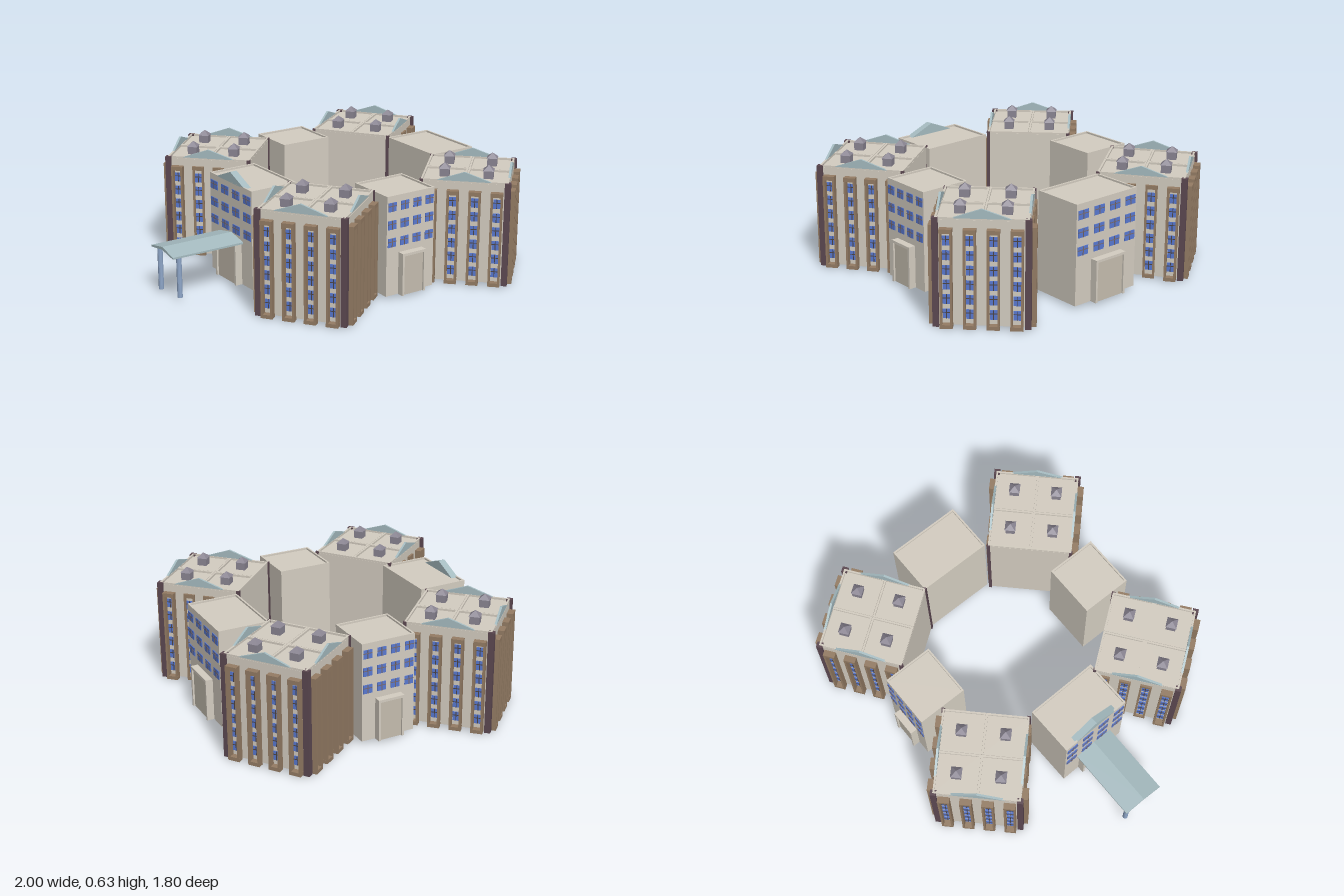
import * as THREE from 'three';
import { mergeGeometries } from 'three/addons/utils/BufferGeometryUtils.js';

const WALL = 0xd3ccc0, TAN = 0x947c64, PLUM = 0x5c4851, BLUE = 0x5878d0,
  TEAL = 0xa5bbc0, STEEL = 0x8ea6c8, LANTERN = 0x8a8592, DARK = 0x4a4346, STONE = 0xc4bcae;

function add(parent, name, color, geometry) {
  const mesh = new THREE.Mesh(geometry, new THREE.MeshStandardMaterial({ color, flatShading: true }));
  mesh.name = name;
  parent.add(mesh);
  return mesh;
}

// One mesh from a list of boxes: [w, h, d, x, bottom y, z]
function boxes(parent, name, color, list) {
  const parts = list.map(([w, h, d, x, y, z]) => new THREE.BoxGeometry(w, h, d).translate(x, y + h / 2, z));
  return add(parent, name, color, mergeGeometries(parts));
}

// Triangular prism facing +z, base centre at the origin
function gable(w, h, d) {
  const s = new THREE.Shape([[-w / 2, 0], [w / 2, 0], [0, h]].map(p => new THREE.Vector2(...p)));
  return new THREE.ExtrudeGeometry(s, { depth: d, bevelEnabled: false });
}

// Raised edge around a rectangle
function rim(w, d, t, h, x, y, z) {
  return [-1, 1].flatMap(s => [
    [w, h, t, x, y, z + s * (d - t) / 2],
    [t, h, d - 2 * t, x + s * (w - t) / 2, y, z]
  ]);
}

// Wall face with four framed window bays and a pediment, local plane z = 0
function bayFace(depths) {
  const face = new THREE.Group();
  face.name = 'bayFace';
  const frames = [], panes = [], mullions = [];
  depths.forEach((d, i) => {
    const x = (i - 1.5) * 0.116;
    for (const s of [-1, 1]) frames.push([0.011, 0.5, d, x + s * 0.026, 0.01, d / 2]);
    frames.push([0.064, 0.022, d, x, 0.5, d / 2], [0.064, 0.02, d, x, 0, d / 2]);
    for (let r = 0; r < 6; r++) {
      panes.push([0.038, 0.05, 0.005, x, 0.045 + r * 0.077, 0.0025]);
      mullions.push([0.004, 0.05, 0.007, x, 0.045 + r * 0.077, 0.0035]);
      mullions.push([0.038, 0.004, 0.007, x, 0.075 + r * 0.077, 0.0035]);
    }
  });
  boxes(face, 'bayFrames', TAN, frames);
  boxes(face, 'bayWindows', BLUE, panes);
  boxes(face, 'bayMullions', DARK, mullions);
  add(face, 'pediment', TEAL, gable(0.29, 0.05, 0.012)).position.set(0, 0.57, -0.01);
  return face;
}

// Square tower, outer face toward local +z; shallow is the side with flat bays
function tower(x, z, angle, shallow) {
  const g = new THREE.Group();
  g.name = 'tower';
  const S = 0.464, H = S / 2;
  boxes(g, 'towerWalls', WALL, [[S, 0.552, S, 0, 0.01, 0]]);

  // Four roof panels with raised edges
  const rims = [], columns = [], feet = [];
  for (const a of [-1, 1]) for (const b of [-1, 1]) {
    rims.push(...rim(H - 0.002, H - 0.002, 0.01, 0.013, a * H / 2, 0.56, b * H / 2));
    const inner = b < 0 ? 0.018 : 0.032;
    columns.push([inner, 0.572, inner, a * (H - 0.004), 0, b * (H - 0.004)]);
    // Roof lantern
    const l = new THREE.Group();
    l.name = 'lantern';
    boxes(l, 'lanternBase', LANTERN, [[0.052, 0.045, 0.052, 0, 0, 0]]);
    const cap = add(l, 'lanternCap', LANTERN, new THREE.ConeGeometry(0.042, 0.028, 4));
    cap.rotation.y = Math.PI / 4;
    cap.position.y = 0.059;
    l.position.set(a * 0.117, 0.56, b * 0.117);
    g.add(l);
  }
  // Footings under the centre lines
  for (let i = 0; i < 4; i++) {
    const u = (i - 1.5) * 0.116;
    feet.push([0.06, 0.012, 0.07, u, 0, 0], [0.07, 0.012, 0.06, 0, 0, u]);
  }
  boxes(g, 'roofEdges', WALL, rims);
  boxes(g, 'cornerColumns', PLUM, columns);
  boxes(g, 'footings', TAN, feet);

  // Outer face and the two sides
  for (const side of [-1, 0, 1]) {
    const depths = [0.034, 0.034, 0.034, 0.034];
    if (side === shallow) depths.forEach((_, i) => {
      if (i !== (side > 0 ? 0 : 3)) depths[i] = 0.012;
    });
    const f = bayFace(depths);
    f.rotation.y = side * Math.PI / 2;
    f.position.set(side * H, 0, side ? 0 : H);
    g.add(f);
  }
  g.position.set(x, 0, z);
  g.rotation.y = THREE.MathUtils.degToRad(angle);
  return g;
}

// Linking block with windows and a portal on local +z
function annex(name, x, z, w, d, angle) {
  const g = new THREE.Group();
  g.name = name;
  const F = d / 2, pw = w * 0.49, ww = w * 0.165;
  boxes(g, 'annexWalls', WALL, [[w, 0.538, d, 0, 0.015, 0]]);
  boxes(g, 'annexRoofEdge', WALL, rim(w, d, 0.01, 0.01, 0, 0.553, 0));
  const panes = [], mullions = [];
  for (let r = 0; r < 3; r++) for (let c = 0; c < 4; c++) {
    const px = (c - 1.5) * w * 0.262, py = 0.285 + r * 0.097;
    panes.push([ww, 0.048, 0.005, px, py, F + 0.0015]);
    mullions.push([0.005, 0.048, 0.007, px, py, F + 0.0025], [ww, 0.004, 0.007, px, py + 0.028, F + 0.0025]);
  }
  boxes(g, 'annexWindows', BLUE, panes);
  boxes(g, 'annexMullions', 0x77686a, mullions);
  // Portal frame and recessed door panel
  boxes(g, 'portalFrame', WALL, [
    [0.012, 0.233, 0.04, -pw / 2 + 0.006, 0.015, F + 0.02],
    [0.012, 0.233, 0.04, pw / 2 - 0.006, 0.015, F + 0.02],
    [pw - 0.024, 0.014, 0.04, 0, 0.234, F + 0.02]
  ]);
  boxes(g, 'portalDoor', STONE, [[pw - 0.024, 0.219, 0.03, 0, 0.015, F + 0.015]]);
  g.position.set(x, 0, z);
  g.rotation.y = angle;
  return g;
}

export function createModel() {
  const model = new THREE.Group();
  model.name = 'buildingComplex';

  model.add(
    tower(0.59, 0.55, 45, 1),
    tower(-0.325, -0.555, -135, 1),
    tower(0.655, -0.525, 126, -1),
    tower(-0.385, 0.53, -53, -1)
  );

  const west = annex('westAnnex', -0.445, 0.01, 0.415, 0.28, -Math.PI / 2 + 0.02);
  model.add(
    annex('frontAnnex', 0.1, 0.54, 0.305, 0.285, 0),
    annex('backAnnex', 0.168, -0.545, 0.305, 0.285, Math.PI),
    annex('eastAnnex', 0.748, 0.005, 0.42, 0.285, Math.PI / 2),
    west
  );
  add(west, 'roofGable', TEAL, gable(0.28, 0.058, 0.04)).position.set(0, 0.558, 0.1);

  // Entrance canopy on two posts
  const canopy = new THREE.Group();
  canopy.name = 'canopy';
  const profile = new THREE.Shape([[-0.118, 0.248], [0, 0.266], [0.118, 0.248], [0.118, 0.258], [0, 0.282], [-0.118, 0.258]]
    .map(p => new THREE.Vector2(...p)));
  const roof = add(canopy, 'canopyRoof', TEAL, new THREE.ExtrudeGeometry(profile, { depth: 0.44, bevelEnabled: false }));
  roof.rotation.y = -Math.PI / 2;
  roof.position.set(-0.56, 0, 0.013);
  for (const [px, pz] of [[-0.97, -0.07], [-0.945, 0.09]]) {
    const post = add(canopy, 'canopyPost', STEEL, new THREE.CylinderGeometry(0.014, 0.014, 0.24, 12));
    post.position.set(px, 0.135, pz);
  }
  model.add(canopy);
  return model;
}
